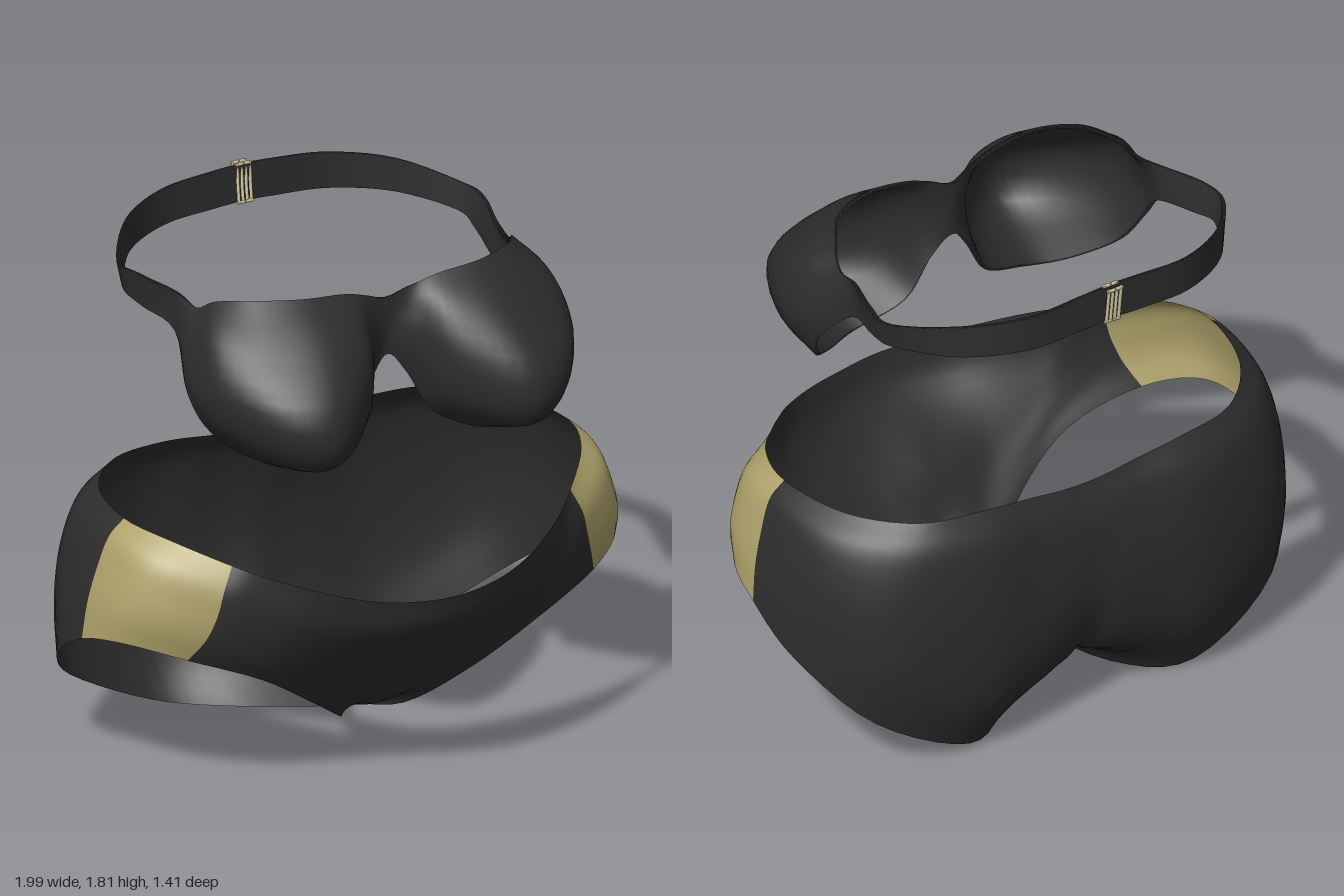
import * as THREE from 'three';

const fabric = new THREE.MeshStandardMaterial({ color: 0x2d2d2d, side: THREE.DoubleSide });
fabric.name = 'black fabric';
const gold = new THREE.MeshStandardMaterial({ color: 0xaea26a, side: THREE.DoubleSide });
gold.name = 'gold fabric';
const metal = new THREE.MeshStandardMaterial({ color: 0xcfc79c });
metal.name = 'pale metal';

const V = (p) => new THREE.Vector3(...p);

// Skin a closed band through half a loop of columns (front centre to back centre, edge to edge),
// mirrored across x = 0. isGold(column) picks the material of each strip.
function band(half, rows, steps, thickness, isGold) {
  const mirrored = half.slice(1, -1).reverse().map((c) => c.map(([x, y, z]) => [-x, y, z]));
  const cols = [...half, ...mirrored];
  const n = cols.length * steps;
  const w = rows + 1;
  const rails = cols[0].map((_, k) =>
    new THREE.CatmullRomCurve3(cols.map((c) => V(c[k])), true, 'catmullrom', 0.5));
  const pos = [];
  for (let i = 0; i < n; i++) {
    const column = new THREE.CatmullRomCurve3(rails.map((r) => r.getPoint(i / n)), false, 'catmullrom', 0.5);
    for (let j = 0; j < w; j++) pos.push(...column.getPoint(j / rows).toArray());
  }
  const black = [], golden = [];
  for (let i = 0; i < n; i++) {
    const out = isGold(i / steps, cols.length) ? golden : black;
    for (let j = 0; j < rows; j++) {
      const a = i * w + j, b = ((i + 1) % n) * w + j;
      out.push(a, a + 1, b, b, a + 1, b + 1);
    }
  }
  let geo = new THREE.BufferGeometry();
  geo.setAttribute('position', new THREE.Float32BufferAttribute(pos, 3));
  geo.setIndex([...black, ...golden]);
  geo.computeVertexNormals();
  if (thickness) {
    // Inner layer and rims
    const nor = geo.attributes.normal.array;
    const normals = [...nor, ...Array.from(nor, (v) => -v)];
    const all = [...pos, ...pos.map((v, k) => v - nor[k] * thickness)];
    const m = n * w, idx = [...black];
    for (let k = 0; k < black.length; k += 3) idx.push(black[k] + m, black[k + 2] + m, black[k + 1] + m);
    for (let i = 0; i < n; i++) {
      const a = i * w, b = ((i + 1) % n) * w;
      idx.push(a, b, a + m, b, b + m, a + m);
      const c = a + rows, d = b + rows;
      idx.push(c, c + m, d, d, c + m, d + m);
    }
    geo = new THREE.BufferGeometry();
    geo.setAttribute('position', new THREE.Float32BufferAttribute(all, 3));
    geo.setAttribute('normal', new THREE.Float32BufferAttribute(normals, 3));
    geo.setIndex(idx);
    return new THREE.Mesh(geo, fabric);
  }
  geo.addGroup(0, black.length, 0);
  geo.addGroup(black.length, golden.length, 1);
  return new THREE.Mesh(geo, [fabric, gold]);
}

// Straight five-point column for the strap
const strap = (x, z, top, bottom, lean = 0) =>
  [0, 1, 2, 3, 4].map((k) => [x - lean * k / 4, top + (bottom - top) * k / 4, z]);

function makeBriefs() {
  // Columns run from the waist to the leg opening
  const front = [
    [[0, .735, .70], [0, .60, .65], [0, .43, .43], [0, .21, .27], [0, .075, -.05]],
    [[.2, .745, .665], [.18, .60, .62], [.12, .42, .43], [.07, .22, .265], [.03, .078, -.05]],
    [[.36, .775, .60], [.34, .62, .56], [.27, .43, .44], [.19, .27, .32], [.12, .14, .18]],
    [[.5, .815, .51], [.5, .67, .50], [.45, .52, .45], [.38, .39, .38], [.31, .28, .31]],
    [[.58, .84, .44], [.59, .73, .44], [.58, .61, .43], [.55, .50, .40], [.53, .425, .36]],
  ];
  const side = [
    [[.65, .865, .37], [.69, .78, .385], [.71, .70, .38], [.74, .61, .355], [.78, .525, .30]],
    [[.79, .925, .20], [.86, .86, .22], [.90, .77, .22], [.93, .67, .205], [.945, .57, .16]],
    [[.85, .945, 0], [.91, .89, 0], [.95, .78, -.01], [.98, .66, -.02], [.995, .53, -.03]],
    [[.79, .945, -.27], [.87, .87, -.29], [.92, .73, -.29], [.95, .57, -.27], [.965, .40, -.24]],
  ];
  const back = [
    [[.62, .945, -.46], [.70, .85, -.50], [.76, .65, -.52], [.79, .42, -.51], [.79, .20, -.46]],
    [[.4, .94, -.51], [.44, .82, -.59], [.46, .55, -.62], [.47, .25, -.60], [.45, .02, -.51]],
    [[.2, .92, -.515], [.22, .80, -.58], [.24, .50, -.62], [.24, .20, -.56], [.22, .005, -.35]],
    [[.1, .91, -.52], [.11, .78, -.58], [.11, .47, -.61], [.08, .19, -.49], [.03, .075, -.05]],
    [[0, .905, -.52], [0, .75, -.585], [0, .44, -.59], [0, .21, -.46], [0, .075, -.05]],
  ];
  const mesh = band([...front, ...side, ...back], 20, 5, 0,
    (c, total) => (c >= 5 && c < 7) || (c >= total - 7 && c < total - 5));
  mesh.name = 'briefs';
  return mesh;
}

function makeTop() {
  // Columns run from the upper edge to the lower edge
  const cups = [
    strap(0, .28, 1.66, 1.46),
    [[.08, 1.69, .29], [.08, 1.62, .31], [.08, 1.55, .33], [.08, 1.47, .33], [.07, 1.38, .29]],
    [[.18, 1.72, .30], [.18, 1.62, .41], [.18, 1.48, .48], [.17, 1.33, .45], [.16, 1.23, .31]],
    [[.34, 1.735, .30], [.35, 1.61, .46], [.37, 1.43, .61], [.36, 1.25, .59], [.34, 1.15, .35]],
    [[.49, 1.735, .23], [.53, 1.60, .39], [.55, 1.43, .54], [.52, 1.26, .51], [.48, 1.17, .28]],
    [[.57, 1.71, .12], [.64, 1.62, .24], [.675, 1.48, .32], [.66, 1.35, .29], [.61, 1.26, .17]],
    [[.60, 1.67, .05], [.64, 1.61, .09], [.67, 1.53, .12], [.68, 1.46, .12], [.66, 1.39, .09]],
  ];
  const straps = [
    strap(.62, -.06, 1.685, 1.55),
    strap(.67, -.23, 1.70, 1.585, .02),
    strap(.67, -.36, 1.70, 1.61, .02),
    strap(.52, -.56, 1.75, 1.635),
    strap(.32, -.67, 1.775, 1.65),
    strap(.12, -.685, 1.79, 1.66),
    strap(0, -.685, 1.795, 1.665),
  ];
  const mesh = band([...cups, ...straps], 16, 5, 0.015, () => false);
  mesh.name = 'bandeauTop';
  return mesh;
}

// Two small wire frames hooked together at the back
function makeClasp() {
  const clasp = new THREE.Group();
  clasp.name = 'backClasp';
  const bar = (x, y, z, length, flat) => {
    const m = new THREE.Mesh(new THREE.CylinderGeometry(.006, .006, length, 8), metal);
    m.position.set(x, y, z);
    if (flat) m.rotation.z = Math.PI / 2;
    m.name = 'claspBar';
    clasp.add(m);
  };
  for (const s of [-1, 1]) {
    for (const z of [-.014, .016]) {
      bar(s * .024, 0, z, .14, false);
      bar(s * .008, 0, z, .12, false);
      for (const y of [-.066, .066]) bar(s * .016, y, z, .028, true);
    }
  }
  clasp.position.set(0, 1.73, -.685);
  clasp.rotation.x = -.12;
  return clasp;
}

export function createModel() {
  const model = new THREE.Group();
  model.name = 'twoPieceSwimsuit';
  model.add(makeBriefs(), makeTop(), makeClasp());
  return model;
}
